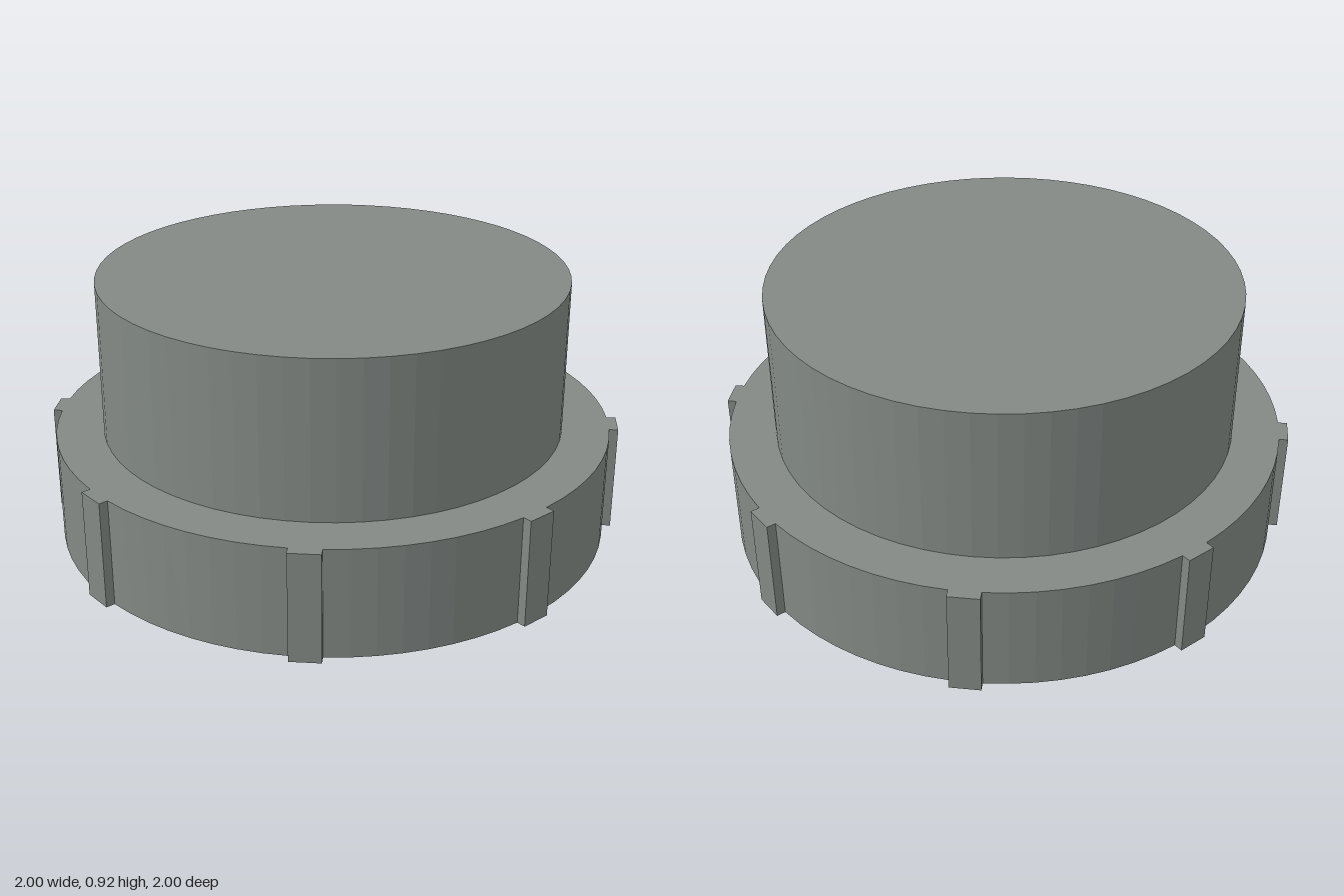
import * as THREE from 'three';

const SEGMENTS = 64;
const BORE = 0.7, BODY_R = 0.807, FLANGE_R = 0.97, RIB_R = 1;
const FLANGE_TOP = 0.377, TOP = 0.916, CEILING = 0.816;
const RIBS = 8, RIB_HALF = 0.052;

// Flange outline: eight arcs joined by square ribs
function flangeShape() {
  const points = [];
  const step = (Math.PI * 2) / RIBS;
  const half = Math.asin(RIB_HALF / FLANGE_R);
  const arcSteps = 8;
  for (let i = 0; i < RIBS; i++) {
    const a = i * step, c = Math.cos(a), s = Math.sin(a);
    for (const t of [-RIB_HALF, RIB_HALF]) {
      points.push(new THREE.Vector2(RIB_R * c - t * s, RIB_R * s + t * c));
    }
    for (let j = 0; j <= arcSteps; j++) {
      const b = a + half + (step - 2 * half) * (j / arcSteps);
      points.push(new THREE.Vector2(FLANGE_R * Math.cos(b), FLANGE_R * Math.sin(b)));
    }
  }
  const shape = new THREE.Shape(points);

  // Round bore
  const hole = [];
  for (let i = 0; i < SEGMENTS; i++) {
    const a = -(i / SEGMENTS) * Math.PI * 2;
    hole.push(new THREE.Vector2(BORE * Math.cos(a), BORE * Math.sin(a)));
  }
  shape.holes.push(new THREE.Path(hole));
  return shape;
}

export function createModel() {
  const group = new THREE.Group();
  group.name = 'ribbedCap';
  // Dark, slightly green grey
  const material = new THREE.MeshStandardMaterial({ color: 0x838985, flatShading: true });

  // Ribbed grip ring at the base
  const flangeGeometry = new THREE.ExtrudeGeometry(flangeShape(), { depth: FLANGE_TOP, bevelEnabled: false });
  flangeGeometry.rotateX(-Math.PI / 2);
  const flange = new THREE.Mesh(flangeGeometry, material);
  flange.name = 'ribbedFlange';
  group.add(flange);

  // Hollow cup, closed at the top and open below
  const profile = [
    [0, CEILING], [BORE, CEILING], [BORE, FLANGE_TOP],
    [BODY_R, FLANGE_TOP], [BODY_R, TOP], [0, TOP],
  ].map(([r, y]) => new THREE.Vector2(r, y));
  const cup = new THREE.Mesh(new THREE.LatheGeometry(profile, SEGMENTS), material);
  cup.name = 'hollowCup';
  group.add(cup);

  return group;
}
